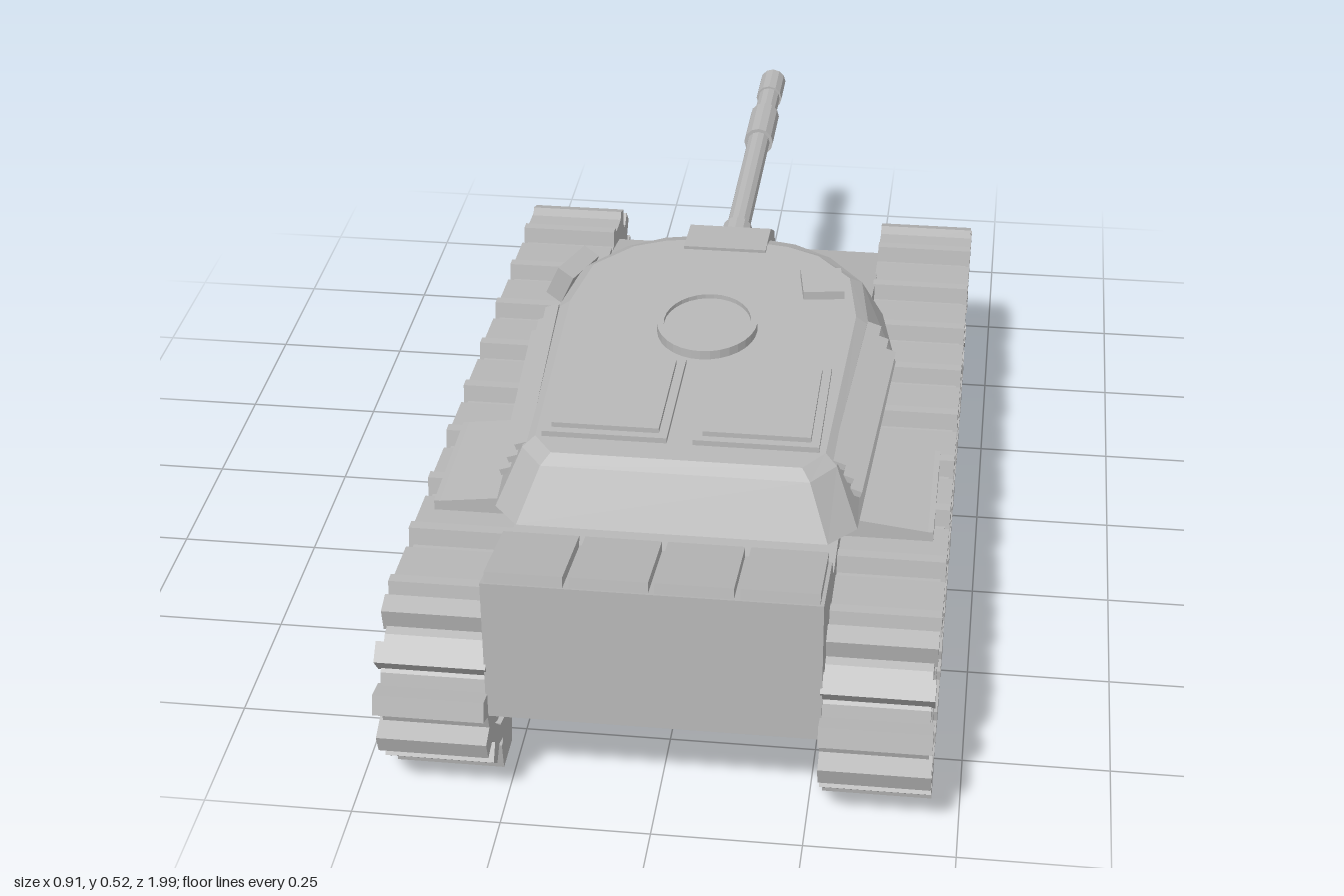
import * as THREE from 'three';

const grey = new THREE.MeshStandardMaterial({ color: 0xb8b8b8 });
grey.name = 'plainGrey';

function add(parent, name, geometry, x = 0, y = 0, z = 0) {
  const g = geometry.index ? geometry.toNonIndexed() : geometry;
  g.computeVertexNormals();
  const mesh = new THREE.Mesh(g, grey);
  mesh.name = name;
  mesh.position.set(x, y, z);
  parent.add(mesh);
  return mesh;
}

const box = (w, h, d) => new THREE.BoxGeometry(w, h, d);
const toShape = (pts) => new THREE.Shape(pts.map(([z, y]) => new THREE.Vector2(-z, y)));

// Side profile of [z, y] points, extruded across x between two positions
function slab(pts, xa, xb, hole) {
  const shape = toShape(pts);
  if (hole) shape.holes.push(toShape(hole));
  return new THREE.ExtrudeGeometry(shape, { depth: Math.abs(xb - xa), bevelEnabled: false })
    .rotateY(Math.PI / 2).translate(Math.min(xa, xb), 0, 0);
}

// Closed skin over rings of [x, y, z], listed from the bottom up
function loft(rings) {
  const out = [];
  const n = rings[0].length;
  const centre = (r) => [0, 1, 2].map((k) => r.reduce((s, p) => s + p[k], 0) / n);
  const top = rings[rings.length - 1];
  const low = centre(rings[0]);
  const high = centre(top);
  for (let i = 0; i < n; i++) {
    const j = (i + 1) % n;
    for (let r = 0; r + 1 < rings.length; r++) {
      const a = rings[r], b = rings[r + 1];
      out.push(...a[i], ...a[j], ...b[j], ...a[i], ...b[j], ...b[i]);
    }
    out.push(...low, ...rings[0][j], ...rings[0][i], ...high, ...top[i], ...top[j]);
  }
  const g = new THREE.BufferGeometry();
  g.setAttribute('position', new THREE.Float32BufferAttribute(out, 3));
  return g;
}

const mirrorRing = (half) => [...half, ...half.map(([x, y, z]) => [-x, y, z]).reverse()];

const rearEnd = [[.8, .045], [.88, .07], [.94, .12], [.962, .19], [.945, .25], [.9, .295], [.83, .317]];
const bowEnd = [[-.51, .317], [-.575, .295], [-.615, .25], [-.63, .19], [-.61, .12], [-.555, .07], [-.47, .045]];
const trackInner = [[.8, .08], [.87, .1], [.915, .14], [.932, .19], [.918, .22], [.88, .24],
  [-.55, .24], [-.588, .22], [-.602, .19], [-.585, .14], [-.54, .1], [-.47, .08]];

// side is 1 for the left track and -1 for the right
function buildTrack(side) {
  const track = new THREE.Group();
  add(track, 'trackBelt', slab([...rearEnd, ...bowEnd], side * .27, side * .447, trackInner));

  // A cleat stands square to the belt's direction of travel (dz, dy)
  const cleat = (z, y, dz, dy, w, h) => {
    const profile = [[-w, -.008], [w, -.008], [w * .8, h], [-w * .8, h]];
    add(track, 'trackCleat', slab(profile, side * .27, side * .453), 0, y, z)
      .rotation.x = Math.atan2(dy, -dz);
  };
  for (const end of [rearEnd, bowEnd]) {
    const path = new THREE.CurvePath();
    for (let i = 0; i + 1 < end.length; i++) {
      path.add(new THREE.LineCurve(new THREE.Vector2(...end[i]), new THREE.Vector2(...end[i + 1])));
    }
    for (let i = 0; i < 6; i++) {
      const p = path.getPointAt((i + .5) / 6);
      const t = path.getTangentAt((i + .5) / 6);
      cleat(p.x, p.y, t.x, t.y, .022, .034);
    }
  }
  // Wide pads and small teeth below, slanted plates above
  for (let i = 0; i < 8; i++) {
    cleat(.82 - i * .175, .045, 1, 0, .046, .045);
    if (i < 7) cleat(.732 - i * .175, .045, 1, 0, .018, .022);
  }
  for (let i = 0; i < 9; i++) {
    const z = .81 - i * .158;
    add(track, 'topPlate', slab([[.022, -.005], [.015, .03], [-.005, .03], [-.02, .014], [-.115, .01], [-.115, -.005]],
      side * .27, side * .455), 0, .317, z);
  }

  // Guide brackets below the upper run
  for (let i = 0; i < 8; i++) {
    const z = .73 - i * .158;
    add(track, 'guideBar', box(.01, .016, .09), side * .45, .283, z);
    add(track, 'guideStem', box(.01, .03, .022), side * .45, .262, z);
  }

  // Inner side plate with the wheels behind it
  add(track, 'sidePlate', slab([[.915, .2], [.88, .24], [-.54, .24], [-.585, .21], [-.575, .15],
    [-.53, .11], [-.44, .09], [.45, .12], [.75, .14]], side * .272, side * .415));
  const wheel = (name, r, y, z) => add(track, name,
    new THREE.CylinderGeometry(r, r, .11, 20).rotateZ(Math.PI / 2), side * .335, y, z);
  for (let i = 0; i < 7; i++) wheel('roadWheel', .066, .15, .62 - i * .16);
  wheel('rearWheel', .08, .165, .82);
  wheel('bowWheel', .08, .165, -.5);
  return track;
}

function buildHull() {
  const hull = new THREE.Group();
  hull.name = 'hull';
  add(hull, 'hullBody', slab([[.955, .185], [.955, .447], [.785, .415], [.75, .365], [-.2, .365],
    [-.51, .295], [-.54, .265], [-.47, .075]], -.273, .273));
  for (let i = 0; i < 4; i++) {
    const x = -.204 + i * .136;
    add(hull, 'engineCover', box(.126, .022, .165), x, .438, .868).rotation.x = -.19;
    add(hull, 'bowLug', box(.035, .035, .03), x * 1.12, .245, -.53);
  }
  // Sloped stowage boxes over the tracks
  for (const s of [1, -1]) {
    const ring = (y0, y1) => {
      const r = [[.42, y1, .58], [.42, y1, .32], [.26, y0, .32], [.26, y0, .58]]
        .map(([x, y, z]) => [s * x, y, z]);
      return s > 0 ? r : r.reverse();
    };
    add(hull, 'stowageBox', loft([ring(.3, .3), ring(.367, .347)]));
    add(hull, 'stowageEdge', box(.015, .03, .26), s * .422, .332, .45);
  }
  add(hull, 'turretRing', new THREE.CylinderGeometry(.18, .18, .05, 32), 0, .382, .31);
  return hull;
}

function buildTurret() {
  const turret = new THREE.Group();
  turret.name = 'turret';
  const bottom = [[.26, .4, .715], [.305, .398, .66], [.335, .395, .1], [.3, .393, -.08],
    [.24, .387, -.185], [.155, .382, -.262], [.07, .38, -.287]];
  const shoulder = [[.225, .487, .665], [.265, .487, .61], [.285, .487, .13], [.262, .487, -.03],
    [.195, .487, -.12], [.125, .487, -.165], [.06, .487, -.18]];
  const top = [[.21, .502, .645], [.245, .502, .595], [.262, .503, .13], [.24, .505, -.01],
    [.175, .505, -.09], [.115, .505, -.12], [.055, .505, -.13]];
  add(turret, 'turretShell', loft([bottom, shoulder, top].map(mirrorRing)));

  // Three rails along each flank
  for (const s of [1, -1]) {
    for (let i = 0; i < 3; i++) {
      add(turret, 'sideRail', box(.026, .011, .475), s * (.308 - i * .014), .432 + i * .026, .365)
        .rotation.set(0, s * -.06, s * -.3);
    }
  }

  // Roof hatches and round cupola
  for (const s of [1, -1]) {
    add(turret, 'hatchFrame', box(.212, .014, .262), s * .128, .505, .465);
    add(turret, 'hatchLid', box(.182, .012, .232), s * .128, .515, .465);
  }
  add(turret, 'cupolaDisc', new THREE.CylinderGeometry(.078, .078, .012, 32).scale(1, 1, 1.22), 0, .507, .205);
  const rim = new THREE.Shape().absellipse(0, 0, .09, .11, 0, Math.PI * 2);
  rim.holes.push(new THREE.Path().absellipse(0, 0, .078, .098, 0, Math.PI * 2));
  add(turret, 'cupolaRim', new THREE.ExtrudeGeometry(rim, { depth: .02, bevelEnabled: false, curveSegments: 16 })
    .rotateX(-Math.PI / 2), 0, .5, -.205 + .41);

  // Sight boxes
  add(turret, 'roofSight', box(.075, .022, .09), .192, .509, .03).rotation.y = .15;
  add(turret, 'flankSight', box(.035, .065, .1), -.285, .468, -.035).rotation.set(0, -.35, -.45);

  // Mantlet and gun
  add(turret, 'mantlet', slab([[-.09, .511], [-.19, .505], [-.26, .465], [-.305, .385], [-.1, .39]], -.08, .075));
  const gun = new THREE.Group();
  gun.name = 'gun';
  const tube = (name, r, z0, z1) => add(gun, name,
    new THREE.CylinderGeometry(r, r, z0 - z1, 12).rotateX(Math.PI / 2), 0, .446, (z0 + z1) / 2);
  tube('barrelRoot', .03, -.2, -.29);
  tube('barrel', .023, -.2, -.97);
  tube('boreSleeve', .03, -.69, -.82);
  // Hollow muzzle
  const muzzle = [[.001, .03], [.016, .03], [.016, 0], [.027, 0], [.027, .09], [.02, .09]]
    .map(([r, h]) => new THREE.Vector2(r, h));
  add(gun, 'muzzle', new THREE.LatheGeometry(muzzle, 12).rotateX(Math.PI / 2), 0, .446, -1);
  turret.add(gun);
  return turret;
}

export function createModel() {
  const model = new THREE.Group();
  model.name = 'tank';
  const left = buildTrack(1);
  left.name = 'leftTrack';
  const right = buildTrack(-1);
  right.name = 'rightTrack';
  model.add(left, right, buildHull(), buildTurret());
  return model;
}
